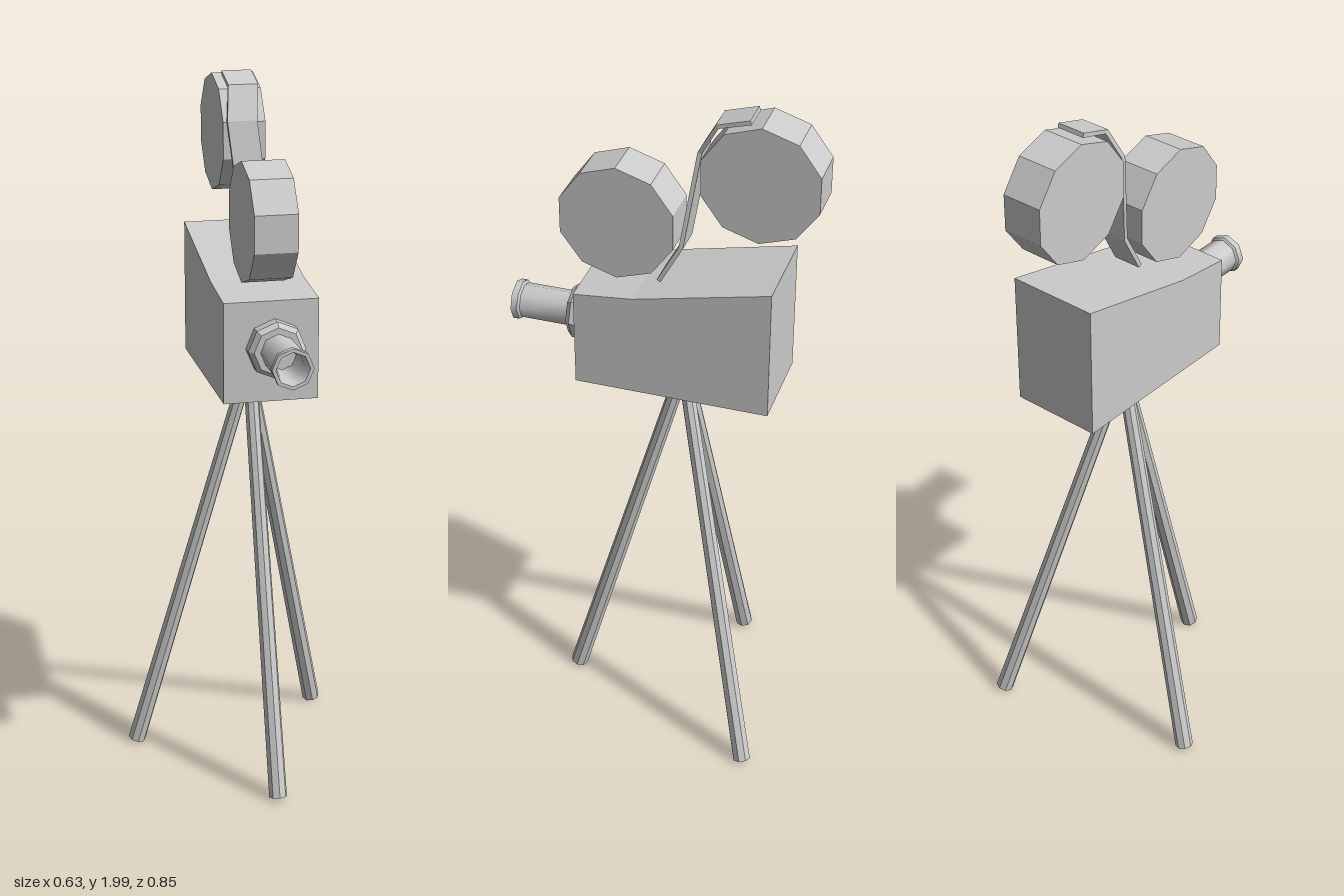
import * as THREE from 'three';
import { toCreasedNormals } from 'three/addons/utils/BufferGeometryUtils.js';

export function createModel() {
  const model = new THREE.Group();
  const flat = new THREE.MeshStandardMaterial({ color: 0xcccccc, flatShading: true });
  const smooth = new THREE.MeshStandardMaterial({ color: 0xcccccc, side: THREE.DoubleSide });

  const add = (name, geometry, material = flat) => {
    const mesh = new THREE.Mesh(geometry, material);
    mesh.name = name;
    model.add(mesh);
    return mesh;
  };

  // Extrudes a side outline of [z, y] points across x, from x0 to x1
  const sideExtrude = (points, x0, x1) => {
    const shape = new THREE.Shape(points.map(([z, y]) => new THREE.Vector2(z, y)));
    return new THREE.ExtrudeGeometry(shape, { depth: x1 - x0, bevelEnabled: false })
      .rotateY(-Math.PI / 2)
      .translate(x1, 0, 0);
  };

  // Camera body with a sloping top
  add('body', sideExtrude(
    [[0.216, 1.18], [0.216, 1.458], [0.05, 1.475], [-0.325, 1.558], [-0.325, 1.18]], -0.1, 0.16));

  // Two ten-sided film reels
  for (const [name, y, z] of [['frontReel', 1.65, 0.118], ['rearReel', 1.825, -0.267]]) {
    const reel = new THREE.CylinderGeometry(0.164, 0.164, 0.118, 10, 1, false, Math.PI / 2);
    add(name, reel.rotateZ(Math.PI / 2).translate(0.029, y, z));
  }

  // Film strip: thin band along a bent path [z, y, sideways centre x]
  const path = [[0, 1.5, 0.05], [-0.06, 1.61, 0.048], [-0.1, 1.88, 0.02],
    [-0.148, 1.968, 0.033], [-0.235, 1.993, 0.033]];
  const offset = (side) => path.map(([z, y], i) => {
    const a = path[Math.max(i - 1, 0)], b = path[Math.min(i + 1, path.length - 1)];
    const dz = b[0] - a[0], dy = b[1] - a[1], k = side * 0.006 / Math.hypot(dz, dy);
    return [z + dy * k, y - dz * k];
  });
  const film = sideExtrude([...offset(1), ...offset(-1).reverse()], -0.0415, 0.0415);
  const pos = film.attributes.position;
  for (let i = 0; i < pos.count; i++) {
    // Shift each corner sideways with its nearest path point
    const near = path.reduce((p, q) =>
      Math.hypot(q[0] - pos.getZ(i), q[1] - pos.getY(i)) <
      Math.hypot(p[0] - pos.getZ(i), p[1] - pos.getY(i)) ? q : p);
    pos.setX(i, pos.getX(i) + near[2]);
  }
  film.computeVertexNormals();
  add('filmStrip', film);

  // Lens parts turned from [radius, z] profiles
  const turn = (profile) => new THREE.LatheGeometry(
    profile.map(([r, z]) => new THREE.Vector2(r, z)), 8)
    .rotateX(Math.PI / 2).translate(0.039, 1.33, 0);
  add('lensMount', turn([[0, 0.21], [0.079, 0.21], [0.079, 0.248], [0.066, 0.262], [0, 0.262]]));
  add('lensBarrel', toCreasedNormals(turn([[0.049, 0.255], [0.049, 0.402], [0.056, 0.407],
    [0.056, 0.425], [0.046, 0.425], [0.038, 0.39], [0.038, 0.3], [0, 0.3]]), 0.85), smooth);

  // Tripod legs, tapering up to the underside of the body
  const legs = [
    ['frontLeg', [0.032, 1.178, -0.048], [0.041, 0.014, 0.281]],
    ['rightLeg', [0.022, 1.178, -0.055], [-0.293, 0.014, -0.158]],
    ['leftLeg', [0.03, 1.178, -0.055], [0.29, 0.014, -0.318]],
  ];
  for (const [name, top, foot] of legs) {
    const a = new THREE.Vector3(...top), b = new THREE.Vector3(...foot);
    const dir = a.clone().sub(b);
    const leg = add(name, new THREE.CylinderGeometry(0.02, 0.026, dir.length(), 8));
    leg.position.copy(a).add(b).multiplyScalar(0.5);
    leg.quaternion.setFromUnitVectors(new THREE.Vector3(0, 1, 0), dir.normalize());
  }

  return model;
}
